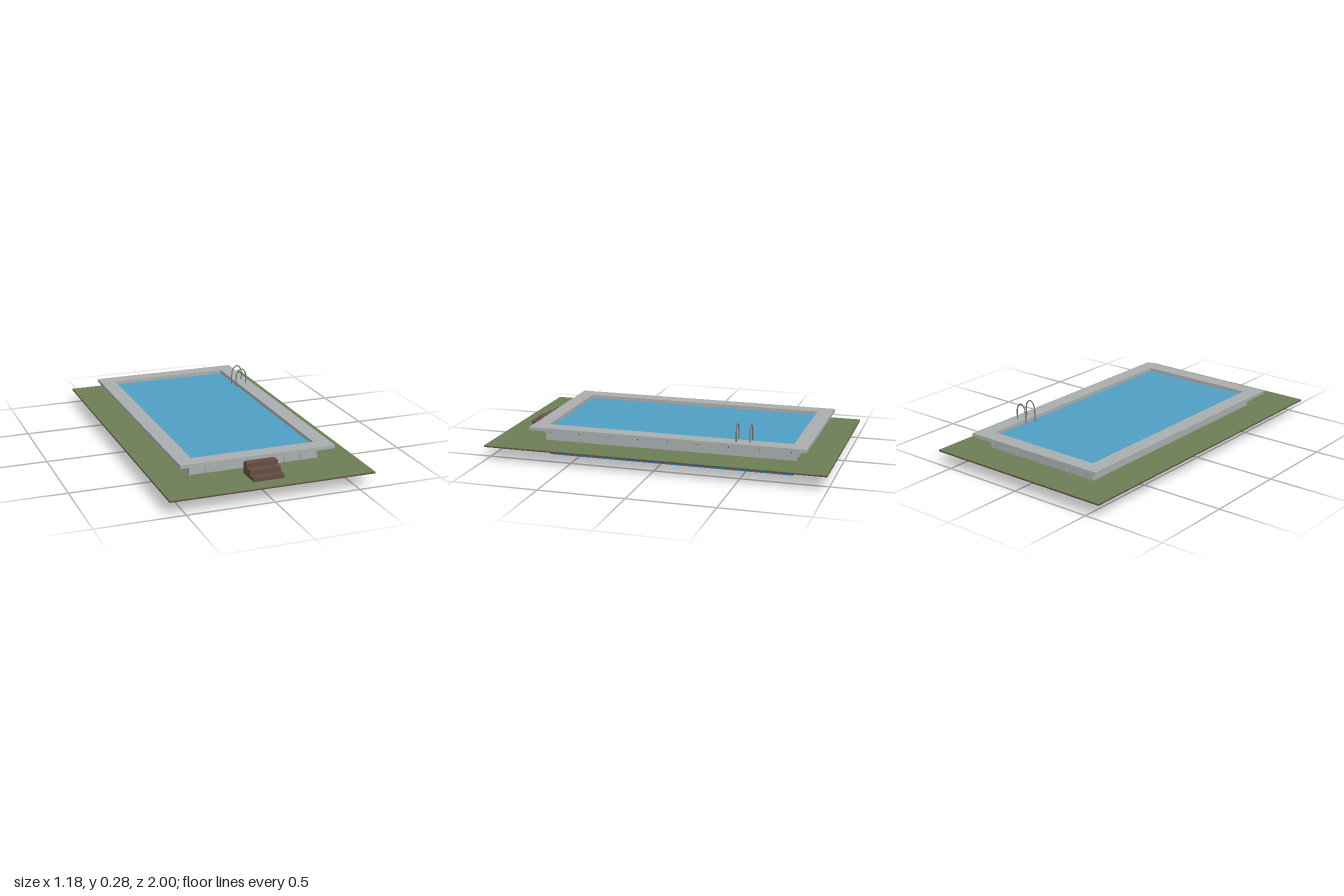
import * as THREE from 'three';

const ZC = -0.045; // pool centre along z

export function createModel() {
  const model = new THREE.Group();
  model.name = 'swimmingPool';
  const paint = (name, color) => {
    const m = new THREE.MeshStandardMaterial({ color });
    m.name = name;
    return m;
  };
  const grass = paint('grass green', 0x6b7d55);
  const wood = paint('earth and wood brown', 0x644c40);
  const concrete = paint('concrete grey', 0xa9adad);
  const liner = paint('basin blue', 0x2f72b0);
  const water = paint('water blue', 0x4f9fc3);
  const steel = paint('steel grey', 0x72726f);

  const add = (name, geometry, material, parent = model) => {
    const mesh = new THREE.Mesh(geometry, material);
    mesh.name = name;
    parent.add(mesh);
    return mesh;
  };
  const box = (name, w, y0, y1, d, x, z, material, parent) =>
    add(name, new THREE.BoxGeometry(w, y1 - y0, d), material, parent).position.set(x, (y0 + y1) / 2, z);

  // Rectangular ring lying flat between two heights
  const ring = (name, hx, hz, ix, iz, y0, y1, material) => {
    const corners = (x, z) => [[-x, -z], [x, -z], [x, z], [-x, z]].map(p => new THREE.Vector2(...p));
    const shape = new THREE.Shape(corners(hx, hz));
    shape.holes.push(new THREE.Path(corners(ix, iz)));
    const g = new THREE.ExtrudeGeometry(shape, { depth: y1 - y0, bevelEnabled: false });
    g.rotateX(-Math.PI / 2);
    add(name, g, material).position.set(0, y0, ZC);
  };

  // Ground slab with a lawn on top
  box('earthSlab', 1.18, 0.082, 0.089, 2, 0, 0, wood);
  box('lawn', 1.178, 0.089, 0.092, 1.998, 0, 0, grass);

  // Basin, water, walls and overhanging deck
  box('basin', 0.724, 0, 0.157, 1.454, 0, ZC, liner);
  box('waterSurface', 0.724, 0.157, 0.163, 1.454, 0, ZC, water);
  ring('poolWall', 0.378, 0.742, 0.362, 0.727, 0.09, 0.166, concrete);
  ring('deck', 0.453, 0.817, 0.362, 0.727, 0.165, 0.184, concrete);

  // Upright ribs on the two short walls
  const ribs = new THREE.Group();
  ribs.name = 'wallRibs';
  model.add(ribs);
  for (const side of [-1, 1])
    for (let i = -4; i <= 4; i++)
      box('rib', 0.008, 0.09, 0.165, 0.006, i * 0.0938, ZC + side * 0.743, concrete, ribs);

  // Slanted struts from the walls to the deck edge
  const struts = new THREE.Group();
  struts.name = 'deckStruts';
  model.add(struts);
  const strut = (x, z, dx, dz) => {
    const path = new THREE.LineCurve3(
      new THREE.Vector3(x, 0.138, z),
      new THREE.Vector3(x + dx * 0.04, 0.167, z + dz * 0.04));
    add('strut', new THREE.TubeGeometry(path, 1, 0.003, 8), steel, struts);
  };
  for (const side of [-1, 1]) {
    for (let i = -4; i <= 4; i++) strut(side * 0.377, ZC + i * 0.179, side, 0);
    for (let i = -2; i <= 2; i++) strut(i * 0.177, ZC + side * 0.741, 0, side);
  }

  // Wooden steps: one stepped profile, extruded across
  const profile = [[0.77, 0.09], [0.912, 0.09], [0.912, 0.114], [0.864, 0.114],
    [0.864, 0.138], [0.817, 0.138], [0.817, 0.162], [0.77, 0.162]];
  const stepShape = new THREE.Shape(profile.map(([z, y]) => new THREE.Vector2(-z, y)));
  const stepGeometry = new THREE.ExtrudeGeometry(stepShape, { depth: 0.18, bevelEnabled: false });
  stepGeometry.rotateY(Math.PI / 2);
  add('steps', stepGeometry, wood).position.x = -0.09;

  // Ladder handrails: two arches, inner legs in the water
  const arch = [new THREE.Vector3(0.346, 0.15, 0), new THREE.Vector3(0.346, 0.185, 0)];
  for (let i = 0; i <= 12; i++) {
    const a = Math.PI * (1 - i / 12);
    arch.push(new THREE.Vector3(0.381 + 0.033 * Math.cos(a), 0.226 + 0.054 * Math.sin(a), 0));
  }
  arch.push(new THREE.Vector3(0.412, 0.18, 0));
  const rail = new THREE.TubeGeometry(new THREE.CatmullRomCurve3(arch), 40, 0.0035, 8);
  for (const z of [-0.455, -0.533]) add('ladderRail', rail, steel).position.z = z;

  return model;
}
